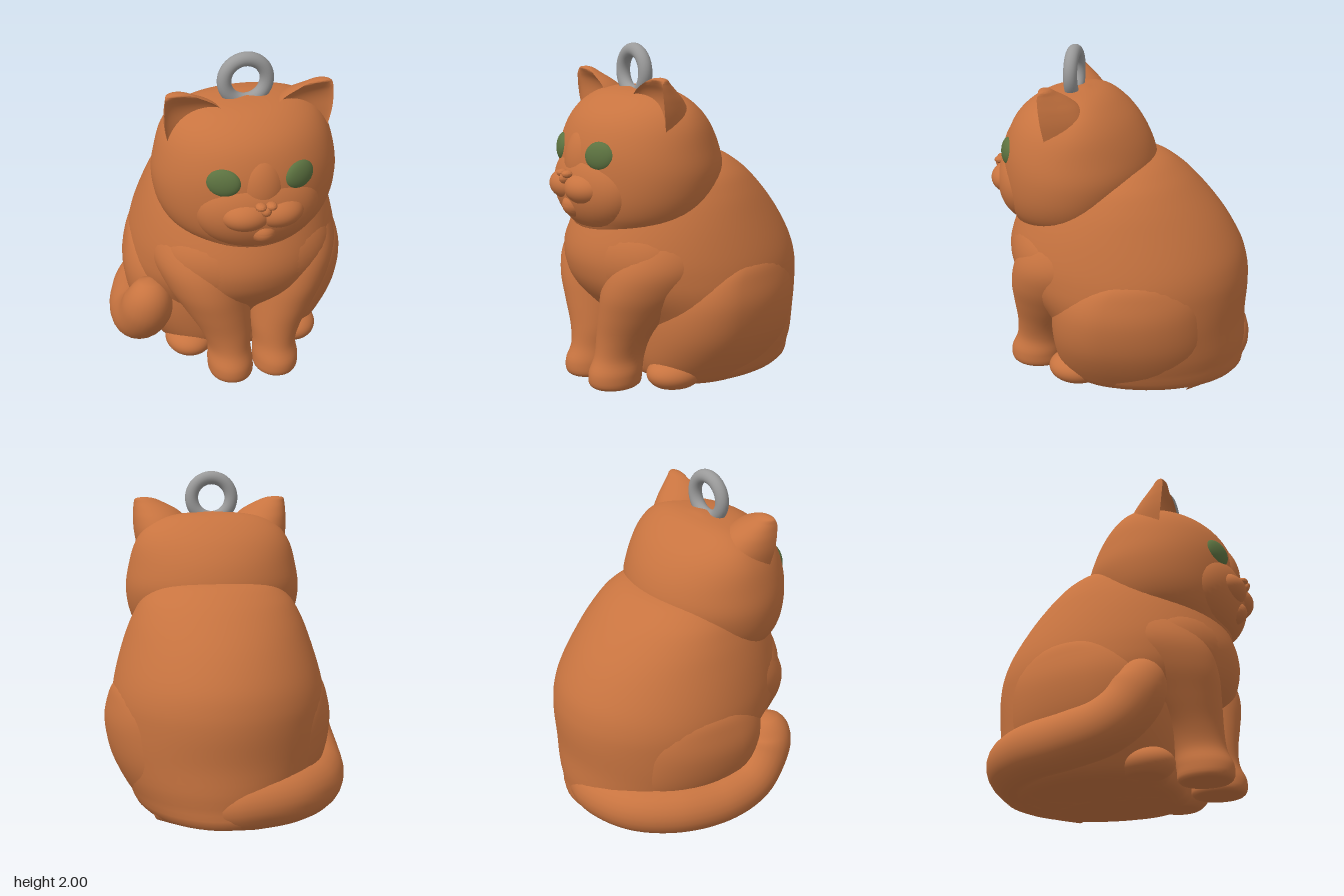
import * as THREE from 'three';
import { toCreasedNormals } from 'three/addons/utils/BufferGeometryUtils.js';

const CX = 0.05; // the body's own middle line

const material = (name, color) => {
  const m = new THREE.MeshStandardMaterial({ color });
  m.name = name;
  return m;
};

// Keep the underside flat on the ground and smooth the rest
function finish(geo) {
  const p = geo.attributes.position;
  for (let i = 0; i < p.count; i++) p.setY(i, Math.max(0, p.getY(i)));
  geo.deleteAttribute('uv');
  return toCreasedNormals(geo, 0.95);
}

// Smooth loft upwards through rings of [y, centre x, half width, mid z, front z, back z]
function loft(rings, segs = 48, steps = 5) {
  const spline = (a) => new THREE.CatmullRomCurve3(
    rings.map((r) => new THREE.Vector3(r[a], r[a + 1], r[a + 2])), false, 'catmullrom', 0.5);
  const shape = spline(0), depth = spline(3);
  const rows = (rings.length - 1) * steps;
  const pos = [], idx = [];
  for (let i = 0; i <= rows; i++) {
    const s = shape.getPoint(i / rows), d = depth.getPoint(i / rows);
    const w = Math.max(0, s.z);
    for (let j = 0; j < segs; j++) {
      const t = (j / segs) * Math.PI * 2, sn = Math.sin(t);
      pos.push(s.y + w * Math.cos(t), s.x, d.x + sn * (sn >= 0 ? d.y - d.x : d.x - d.z));
      if (i === rows) continue;
      const a = i * segs + j, b = i * segs + (j + 1) % segs;
      idx.push(a, a + segs, b, b, a + segs, b + segs);
    }
  }
  const geo = new THREE.BufferGeometry();
  geo.setAttribute('position', new THREE.Float32BufferAttribute(pos, 3));
  geo.setIndex(idx);
  return finish(geo);
}

// Ellipsoid
const blob = (x, y, z, rx, ry, rz) =>
  finish(new THREE.SphereGeometry(1, 48, 32).scale(rx, ry, rz).translate(x, y, z));

export function createModel() {
  const cat = new THREE.Group();
  cat.name = 'sittingCat';
  const fur = material('orange fur', 0xc87440);
  const green = material('green eyes', 0x5c7240);
  const metal = material('grey metal', 0x9a9a9a);
  const add = (name, geo, mat = fur) => {
    const mesh = new THREE.Mesh(geo, mat);
    mesh.name = name;
    cat.add(mesh);
    return mesh;
  };

  // Torso
  add('body', loft([
    [0, CX, 0, -0.1, -0.1, -0.1],
    [0, CX, 0.44, -0.1, 0.28, -0.69],
    [0.15, CX, 0.56, -0.1, 0.36, -0.765],
    [0.38, CX, 0.63, -0.08, 0.46, -0.768],
    [0.57, CX, 0.65, -0.05, 0.62, -0.78],
    [0.7, CX, 0.645, -0.05, 0.68, -0.77],
    [0.83, CX, 0.62, -0.03, 0.685, -0.73],
    [1.0, CX, 0.57, 0, 0.63, -0.63],
    [1.15, CX, 0.51, 0, 0.56, -0.505],
    [1.27, CX, 0.43, 0, 0.48, -0.375],
    [1.35, CX, 0.29, 0, 0.3, -0.23],
    [1.38, CX, 0, 0, 0, 0],
  ], 64));
  add('chest', blob(CX, 0.77, 0.28, 0.53, 0.36, 0.4));

  // Head
  add('head', loft([
    [0.9, CX, 0, 0.28, 0.28, 0.28],
    [0.925, CX, 0.3, 0.28, 0.6, 0.05],
    [1.0, CX, 0.44, 0.27, 0.665, -0.05],
    [1.12, CX, 0.515, 0.26, 0.7, -0.15],
    [1.28, CX, 0.543, 0.25, 0.71, -0.21],
    [1.43, CX, 0.523, 0.25, 0.695, -0.18],
    [1.57, CX, 0.48, 0.23, 0.64, -0.1],
    [1.67, CX, 0.4, 0.22, 0.545, 0],
    [1.73, CX, 0.26, 0.22, 0.42, 0.1],
    [1.755, CX, 0, 0.22, 0.22, 0.22],
  ], 64));

  // Face: broad snout base with small features sunk into it
  add('snoutBase', blob(CX, 1.19, 0.53, 0.37, 0.27, 0.222));
  add('noseBridge', blob(CX, 1.32, 0.57, 0.17, 0.24, 0.16));
  add('chin', blob(CX, 1.09, 0.655, 0.088, 0.08, 0.11));
  add('noseTip', blob(CX, 1.25, 0.745, 0.032, 0.035, 0.042));

  for (const s of [-1, 1]) {
    const side = s > 0 ? 'left' : 'right';
    const x = (off) => CX + s * off;

    add(side + 'Muzzle', blob(x(0.09), 1.197, 0.65, 0.155, 0.1, 0.135));
    add(side + 'Nostril', blob(x(0.03), 1.277, 0.75, 0.032, 0.022, 0.036));

    const eye = add(side + 'Eye', new THREE.SphereGeometry(1, 32, 20).scale(0.1, 0.083, 0.043), green);
    eye.position.set(x(0.216), 1.396, 0.642);
    eye.rotation.set(-0.1, s * 0.42, s * 0.1);

    // Ear with a hollow front
    add(side + 'Ear', loft([
      [1.5, x(0.3), 0.16, 0.36, 0.34, 0.1],
      [1.62, x(0.31), 0.172, 0.38, 0.34, 0.13],
      [1.7, x(0.32), 0.167, 0.39, 0.34, 0.18],
      [1.755, x(0.345), 0.14, 0.395, 0.355, 0.24],
      [1.8, x(0.385), 0.096, 0.395, 0.385, 0.3],
      [1.828, x(0.412), 0.058, 0.38, 0.4, 0.335],
      [1.838, x(0.42), 0, 0.37, 0.37, 0.37],
    ], 40));

    // Front leg and paw, widening into the shoulder
    add(side + 'FrontLeg', loft([
      [0, x(0.14), 0, 0.52, 0.52, 0.52],
      [0, x(0.14), 0.12, 0.52, 0.66, 0.37],
      [0.08, x(0.143), 0.138, 0.51, 0.682, 0.35],
      [0.18, x(0.143), 0.13, 0.48, 0.643, 0.33],
      [0.3, x(0.16), 0.158, 0.45, 0.632, 0.28],
      [0.45, x(0.205), 0.21, 0.37, 0.637, 0.2],
      [0.6, x(0.25), 0.265, 0.27, 0.637, 0.1],
      [0.75, x(0.275), 0.295, 0.2, 0.6, 0.05],
      [0.9, x(0.27), 0.27, 0.16, 0.51, 0.03],
      [1.05, x(0.25), 0.2, 0.15, 0.38, 0.03],
    ]));

    // Haunch running back into the rump
    add(side + 'Haunch', loft([
      [0, x(0.2), 0, -0.05, -0.05, -0.05],
      [0, x(0.2), 0.24, -0.05, 0.26, -0.53],
      [0.1, x(0.235), 0.31, -0.03, 0.345, -0.56],
      [0.3, x(0.28), 0.375, 0, 0.375, -0.6],
      [0.5, x(0.3), 0.395, 0, 0.365, -0.6],
      [0.65, x(0.3), 0.375, -0.02, 0.3, -0.58],
      [0.76, x(0.3), 0.325, -0.08, 0.16, -0.5],
      [0.84, x(0.3), 0.2, -0.12, -0.02, -0.4],
    ]));
    add(side + 'HindFoot', blob(x(0.335), 0.075, 0.22, 0.15, 0.1, 0.175));
  }

  // Tail growing from the rump round the right side, with a rounded raised tip
  const path = new THREE.CatmullRomCurve3([
    [0.42, 0.07, -0.4], [0.22, 0.1, -0.56], [-0.05, 0.145, -0.635], [-0.3, 0.155, -0.57],
    [-0.48, 0.155, -0.38], [-0.575, 0.16, -0.12], [-0.59, 0.21, 0.1],
    [-0.565, 0.32, 0.23], [-0.545, 0.44, 0.285], [-0.535, 0.59, 0.28],
  ].map((p) => new THREE.Vector3(...p)));
  const rows = 90, segs = 24;
  const tail = new THREE.TubeGeometry(path, rows, 0.158, segs);
  const tp = tail.attributes.position, v = new THREE.Vector3();
  for (let i = 0; i < tp.count; i++) {
    const u = Math.floor(i / (segs + 1)) / rows, c = path.getPointAt(u);
    const k = Math.max(0, (u - 0.89) / 0.11);
    const root = Math.min(1, 0.6 + u * 1.6);
    v.fromBufferAttribute(tp, i).sub(c).multiplyScalar(root * Math.sqrt(Math.max(0, 1 - k * k))).add(c);
    tp.setXYZ(i, v.x, v.y, v.z);
  }
  add('tail', finish(tail));

  // Hanging ring
  add('hangingRing', new THREE.TorusGeometry(0.124, 0.041, 20, 48), metal).position.set(CX, 1.835, 0.285);

  return cat;
}
